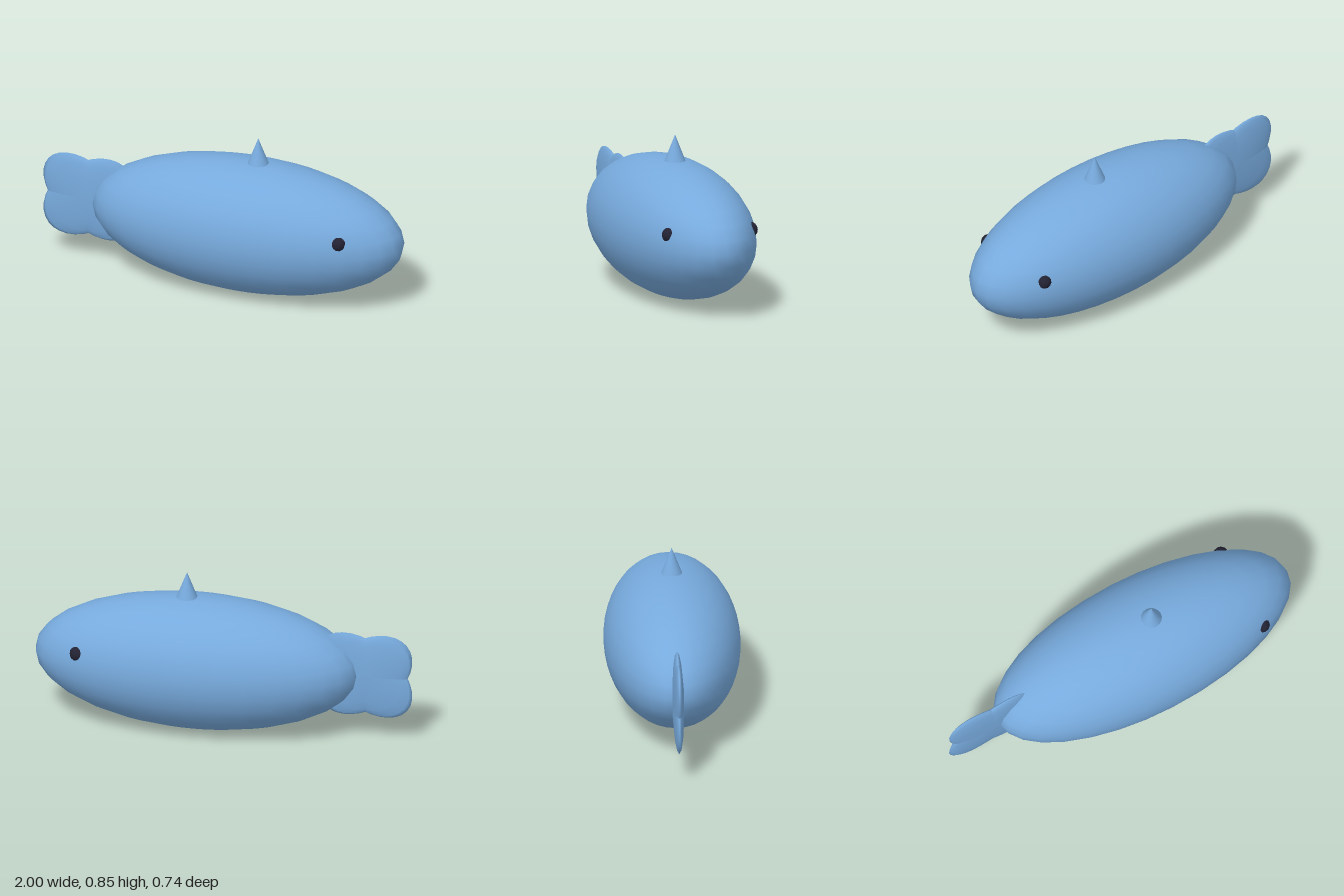
import * as THREE from 'three';

const blue = new THREE.MeshStandardMaterial({ color: 0x77aadd });
const dark = new THREE.MeshStandardMaterial({ color: 0x222233 });

export function createModel() {
  const model = new THREE.Group();
  model.name = 'fish';
  model.position.set(0.142, 0.358, 0);
  model.rotation.y = -0.124; // whole fish turned slightly

  const add = (name, geometry, material, x, y, z) => {
    const mesh = new THREE.Mesh(geometry, material);
    mesh.name = name;
    mesh.position.set(x, y, z);
    model.add(mesh);
    return mesh;
  };

  // Long ellipsoid body
  const R = 0.358, L = 0.863;
  add('body', new THREE.SphereGeometry(R, 32, 16).scale(L / R, 1, 1), blue, 0, 0, 0);

  // Small cone on the back
  add('dorsalFin', new THREE.ConeGeometry(0.055, 0.14, 16), blue, 0.055, 0.425, 0);

  for (const side of [1, -1]) {
    // Eyes sunk into the body along its surface normal
    const ex = 0.6, ey = 0.082;
    const ez = R * Math.sqrt(1 - (ex / L) ** 2 - (ey / R) ** 2);
    const inward = new THREE.Vector3(ex / L ** 2, ey / R ** 2, ez / R ** 2).setLength(0.024);
    add(side > 0 ? 'leftEye' : 'rightEye', new THREE.SphereGeometry(0.041, 12, 8), dark,
      ex - inward.x, ey - inward.y, side * (ez - inward.z));

    // Two crossed flat ellipsoids make the four-lobed tail
    const lobe = add(side > 0 ? 'tailLobeA' : 'tailLobeB',
      new THREE.SphereGeometry(1, 16, 16).scale(0.29, 0.183, 0.03), blue, -0.897, 0.002, 0);
    lobe.rotation.z = side * 0.69;
  }

  const root = new THREE.Group();
  root.add(model);
  return root;
}
